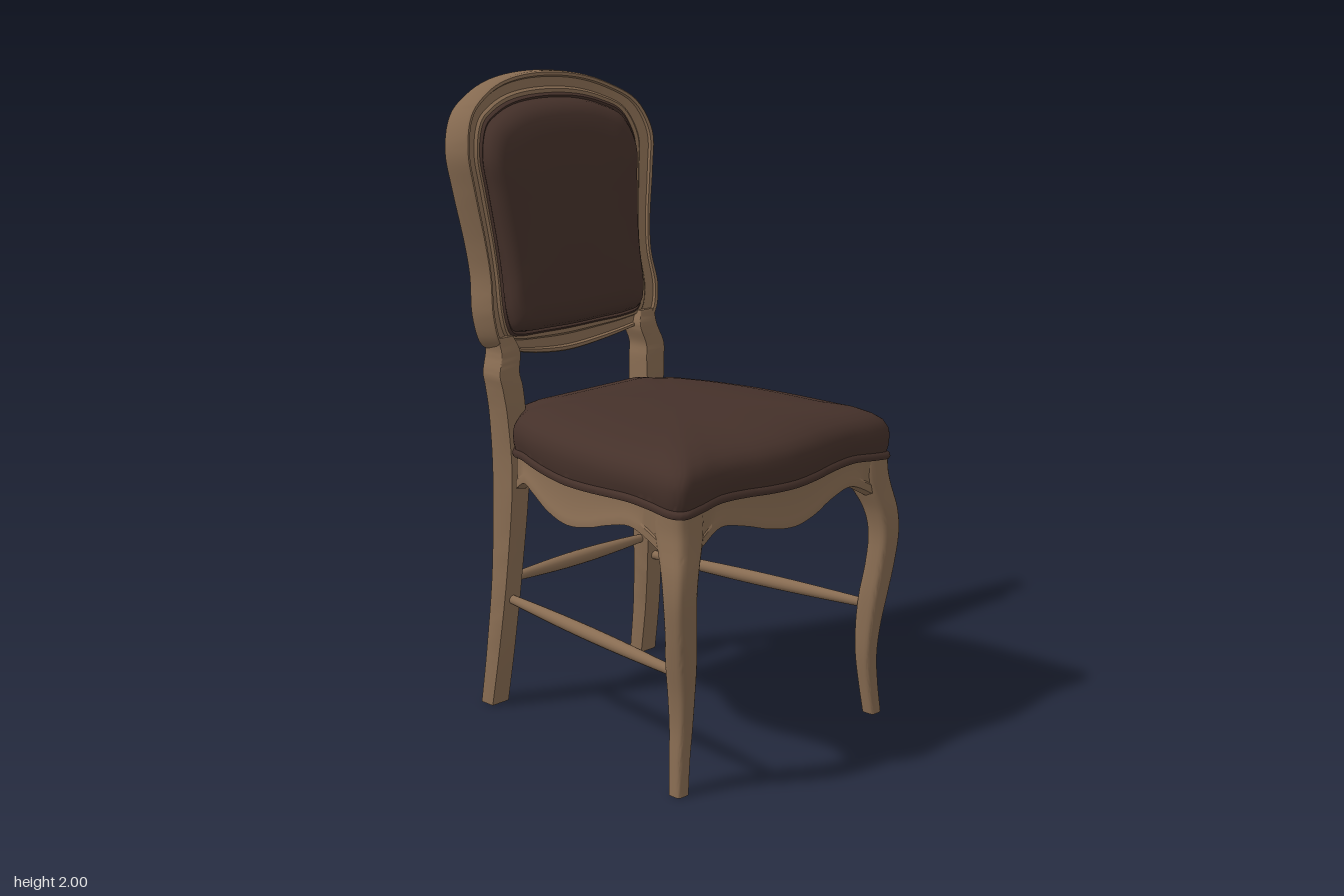
import * as THREE from 'three';
import { toCreasedNormals } from 'three/addons/utils/BufferGeometryUtils.js';

const V = (x, y, z) => new THREE.Vector3(x, y, z);

// Skin a list of equal-length rings; capped at the ends unless the list is closed.
function loft(rings, closed = false, crease = 0.6) {
  const n = rings[0].length, m = rings.length, pts = rings.flat(), index = [];
  for (let i = 0; i < (closed ? m : m - 1); i++) {
    for (let j = 0; j < n; j++) {
      const k = (j + 1) % n, i2 = (i + 1) % m;
      const a = i * n + j, b = i * n + k, c = i2 * n + k, d = i2 * n + j;
      index.push(a, b, c, a, c, d);
    }
  }
  if (!closed) {
    const e = (m - 1) * n;
    for (let j = 1; j < n - 1; j++) index.push(0, j + 1, j, e, e + j, e + j + 1);
  }
  // Turn the faces outward whichever way the rings run
  let volume = 0;
  for (let i = 0; i < index.length; i += 3) {
    const [a, b, c] = [0, 1, 2].map((k) => pts[index[i + k]]);
    volume += a.dot(b.clone().cross(c));
  }
  if (volume < 0) index.reverse();
  const g = new THREE.BufferGeometry().setFromPoints(pts);
  g.setIndex(index);
  return toCreasedNormals(g, crease);
}

// Closed symmetric curve from its +x half, sampled evenly per control point
function symmetricLoop(half) {
  const mirrored = half.slice(1, -1).reverse().map((p) => [-p[0], p[1], p[2]]);
  const ctrl = [...half, ...mirrored].map((p) => V(p[0], p[1], p[2] || 0));
  return new THREE.CatmullRomCurve3(ctrl, true).getPoints(ctrl.length * 5).slice(0, -1);
}

// Leg with a rounded-square section (power near 0 is square, 1 is round);
// stations are [y, xIn, xOut, zBack, zFront]
function legGeometry(stations, side, power) {
  const curve = (f) => new THREE.CatmullRomCurve3(stations.map(f), false, 'catmullrom').getPoints(48);
  const lo = curve((s) => V(s[1], s[0], s[3])), hi = curve((s) => V(s[2], s[0], s[4]));
  const round = (t) => 0.5 + 0.5 * Math.sign(t) * Math.abs(t) ** power;
  return loft(lo.map((a, i) => Array.from({ length: 20 }, (_, j) => {
    const angle = (j + 0.5) * Math.PI / 10;
    return V(side * THREE.MathUtils.lerp(a.x, hi[i].x, round(Math.cos(angle))), a.y,
      THREE.MathUtils.lerp(a.z, hi[i].z, round(Math.sin(angle))));
  })), false, 0.55);
}

// Backrest surface: leans back and curves around the sitter; d is depth to the front
function onBack(x, y, d) {
  const depth = d < 0 ? d * (0.65 + 2 * x * x) : d * (1 - 2.5 * x * x);
  return V(x - x * Math.min(d, 0), y, -0.403 - 0.15 * (y - 1.12) + 0.53 * x * x + depth);
}

export function createModel() {
  const chair = new THREE.Group();
  chair.name = 'chair';
  const material = (name, color) => {
    const m = new THREE.MeshStandardMaterial({ color });
    m.name = name;
    return m;
  };
  const wood = material('wood', 0x886c52);
  const leather = material('brownLeather', 0x45312a);
  const webbing = material('greyWebbing', 0xb0b0b0);
  const add = (name, geometry, mat) => {
    const mesh = new THREE.Mesh(geometry, mat);
    mesh.name = name;
    chair.add(mesh);
    return mesh;
  };

  // Backrest frame: moulded section swept between the outer and inner outlines
  const outer = symmetricLoop([[0, 2], [0.16, 1.985], [0.27, 1.948], [0.36, 1.89], [0.402, 1.79],
    [0.39, 1.67], [0.362, 1.5], [0.355, 1.4], [0.366, 1.28], [0.338, 1.185], [0.26, 1.155],
    [0.13, 1.126], [0, 1.114]]);
  const inner = symmetricLoop([[0, 1.93], [0.14, 1.92], [0.23, 1.895], [0.295, 1.86], [0.333, 1.77],
    [0.323, 1.66], [0.306, 1.5], [0.301, 1.4], [0.3, 1.27], [0.28, 1.215], [0.23, 1.2],
    [0.12, 1.192], [0, 1.188]]);
  const frameProfile = [[0, -0.07], [0, -0.004], [0.06, 0.005], [0.2, 0.005], [0.27, -0.004],
    [0.7, -0.004], [0.8, 0.007], [1, 0.007], [1, -0.07]];
  add('backFrame', loft(outer.map((o, i) => frameProfile.map(([u, d]) =>
    onBack(THREE.MathUtils.lerp(o.x, inner[i].x, u), THREE.MathUtils.lerp(o.y, inner[i].y, u), d))), true), wood);

  // Padded back: flat rear panel with piping, domed front
  const padProfile = [[0.01, -0.058], [0.5, -0.058], [0.94, -0.058], [0.955, -0.07], [0.98, -0.07],
    [1.005, -0.055], [1.005, 0.008], [0.985, 0.018], [0.967, 0.012], [0.95, 0.04], [0.91, 0.068],
    [0.84, 0.085], [0.7, 0.092], [0.4, 0.095], [0.01, 0.095]];
  add('backCushion', loft(padProfile.map(([s, d]) =>
    inner.map((p) => onBack(p.x * s, 1.55 + (p.y - 1.55) * s, d))), false, 1), leather);

  // Seat outline; y carries the scalloped lower edge of the apron
  const seat = symmetricLoop([[0, 0.727, 0.575], [0.1, 0.74, 0.568], [0.2, 0.768, 0.554],
    [0.3, 0.785, 0.55], [0.4, 0.742, 0.56], [0.46, 0.715, 0.556], [0.48, 0.715, 0.525],
    [0.48, 0.76, 0.43], [0.479, 0.785, 0.35], [0.476, 0.765, 0.25], [0.47, 0.74, 0.17],
    [0.458, 0.722, 0.06], [0.436, 0.738, -0.05], [0.413, 0.77, -0.14], [0.387, 0.783, -0.21],
    [0.354, 0.745, -0.285], [0.3, 0.74, -0.33], [0.27, 0.745, -0.38], [0.14, 0.765, -0.388],
    [0, 0.772, -0.388]]);
  const seatPoint = (p, s, y) => V(p.x * s, y, 0.08 + (p.z - 0.08) * s);
  // The seam between apron and cushion follows the scallops faintly
  const seam = (p) => 0.2 * (p.y - 0.755);

  const apronProfile = [[0.983, 0], [0.983, 0.025], [0.975, 0.032], [0.975, null], [0.925, null], [0.925, 0]];
  add('seatApron', loft(seat.map((p) => apronProfile.map(([s, rise]) =>
    seatPoint(p, s, rise === null ? 0.863 + seam(p) : p.y + rise))), true), wood);

  const seatProfile = [[0.01, 0.853], [0.9, 0.853], [0.997, 0.853], [1.004, 0.861], [0.999, 0.871],
    [0.985, 0.876], [0.994, 0.895], [0.998, 0.922], [0.99, 0.945], [0.965, 0.968], [0.92, 0.985],
    [0.85, 1.001], [0.7, 1.017], [0.4, 1.029], [0.01, 1.032]];
  add('seatCushion', loft(seatProfile.map(([s, y]) => seat.map((p) =>
    seatPoint(p, s, y + (s > 0.95 && y < 0.9 ? seam(p) : 0)))), false, 1), leather);

  // Webbing straps under the seat
  for (const i of [-1, 0, 1]) {
    add('strapLengthwise', new THREE.BoxGeometry(0.075, 0.006, 0.8), webbing).position.set(i * 0.18, 0.848, 0.09);
    const width = 0.78 + i * 0.06;
    add('strapCrosswise', new THREE.BoxGeometry(width, 0.006, 0.075), webbing).position.set(0, 0.843, 0.1 + i * 0.22);
  }

  // Legs, corner blocks
  const frontLeg = [[0, 0.422, 0.47, 0.498, 0.546], [0.1, 0.409, 0.46, 0.488, 0.54],
    [0.2, 0.398, 0.452, 0.48, 0.541], [0.3, 0.397, 0.458, 0.478, 0.55], [0.4, 0.401, 0.475, 0.484, 0.562],
    [0.5, 0.412, 0.491, 0.497, 0.573], [0.6, 0.42, 0.502, 0.5, 0.58], [0.68, 0.408, 0.498, 0.486, 0.577],
    [0.75, 0.38, 0.484, 0.455, 0.565], [0.8, 0.365, 0.476, 0.435, 0.558], [0.856, 0.365, 0.474, 0.435, 0.553]];
  const backLeg = [[0, 0.305, 0.375, -0.435, -0.38], [0.2, 0.298, 0.367, -0.412, -0.35],
    [0.45, 0.284, 0.352, -0.398, -0.325], [0.75, 0.266, 0.34, -0.4, -0.306], [0.95, 0.269, 0.347, -0.402, -0.312],
    [1.05, 0.273, 0.358, -0.406, -0.32], [1.1, 0.28, 0.363, -0.411, -0.328],
    [1.16, 0.265, 0.343, -0.42, -0.34], [1.21, 0.28, 0.345, -0.42, -0.355]];
  for (const side of [1, -1]) {
    add('frontLeg', legGeometry(frontLeg, side, 0.5), wood);
    add('backLeg', legGeometry(backLeg, side, 0.08), wood);
    for (const [x, z, turn] of [[0.38, 0.44, 1], [0.28, -0.25, -1]]) {
      const block = add('cornerBlock', new THREE.BoxGeometry(0.15, 0.05, 0.035), wood);
      block.position.set(side * x, 0.822, z);
      block.rotation.y = side * turn * Math.PI / 4;
    }
  }

  // Turned stretchers, thickest in the middle
  const stretcher = (name, a, b, rEnd, rMid) => {
    const length = a.distanceTo(b), profile = [];
    for (let i = 0; i <= 12; i++) {
      profile.push(new THREE.Vector2(rEnd + (rMid - rEnd) * Math.sin(Math.PI * i / 12), length * i / 12));
    }
    const rod = add(name, new THREE.LatheGeometry(profile, 16), wood);
    rod.position.copy(a);
    rod.quaternion.setFromUnitVectors(V(0, 1, 0), b.clone().sub(a).normalize());
  };
  for (const side of [1, -1]) {
    stretcher('sideStretcher', V(side * 0.43, 0.365, 0.51), V(side * 0.32, 0.36, -0.35), 0.014, 0.022);
  }
  stretcher('backStretcher', V(-0.3, 0.42, -0.365), V(0.3, 0.42, -0.365), 0.013, 0.024);

  return chair;
}
